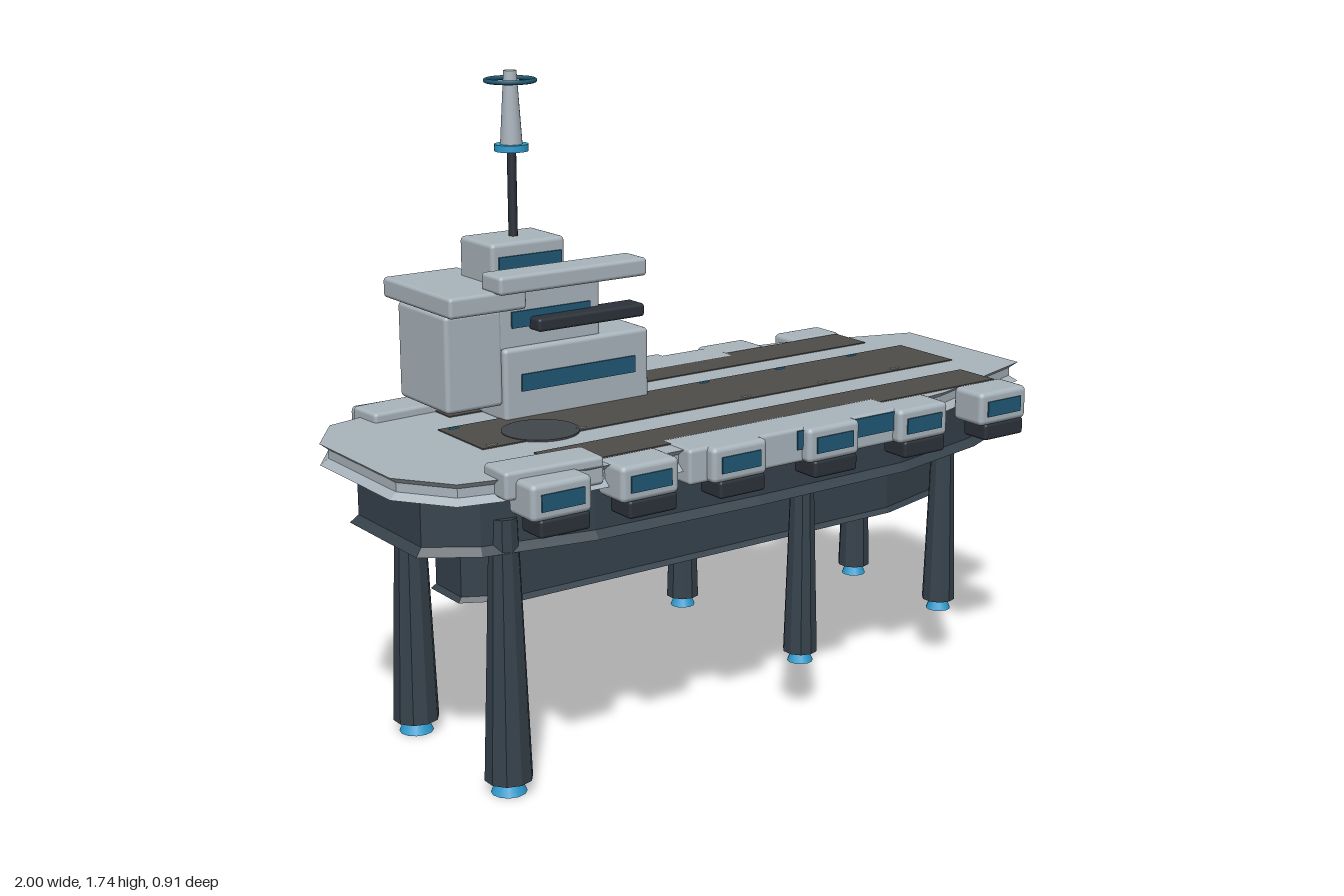
import * as THREE from 'three';
import { RoundedBoxGeometry } from 'three/addons/geometries/RoundedBoxGeometry.js';

function paint(name, color, options = {}) {
  const m = new THREE.MeshStandardMaterial({ color, ...options });
  m.name = name;
  return m;
}

export function createModel() {
  const grey = paint('light grey', 0xa9b4bc);
  const hullDark = paint('dark slate', 0x36424c);
  const legDark = paint('leg slate', 0x36424c, { flatShading: true });
  const black = paint('charcoal', 0x2c323a);
  const glass = paint('deep blue', 0x1f5873);
  const cyan = paint('bright blue', 0x2f9ccf);
  const runway = paint('runway brown', 0x4e4d48);
  const padGrey = paint('pad grey', 0x41464b);

  const model = new THREE.Group();
  model.name = 'carrierPlatform';

  const add = (name, geometry, material, x = 0, y = 0, z = 0) => {
    const mesh = new THREE.Mesh(geometry, material);
    mesh.name = name;
    mesh.position.set(x, y, z);
    model.add(mesh);
    return mesh;
  };
  // Boxes given by their limits on each axis
  const block = (name, mat, [x0, x1], [y0, y1], [z0, z1], r = 0.01) => {
    const w = x1 - x0, h = y1 - y0, d = z1 - z0;
    const geometry = r > 0 ? new RoundedBoxGeometry(w, h, d, 2, r) : new THREE.BoxGeometry(w, h, d);
    return add(name, geometry, mat, (x0 + x1) / 2, (y0 + y1) / 2, (z0 + z1) / 2);
  };
  const cylinder = (name, mat, rTop, rBottom, y0, y1, x, z, sides = 24) =>
    add(name, new THREE.CylinderGeometry(rTop, rBottom, y1 - y0, sides), mat, x, (y0 + y1) / 2, z);

  // Horizontal slab mirrored across z, with a waist between flared rims
  const slab = (name, mat, half, y0, y1, rim, inset) => {
    const points = [...half, ...half.map(([x, z]) => [x, -z]).reverse()];
    const shape = new THREE.Shape(points.map(([x, z]) => new THREE.Vector2(x, z)));
    const geometry = new THREE.ExtrudeGeometry(shape, {
      depth: y1 - y0 - 2 * rim, bevelThickness: rim, bevelSize: -inset, bevelSegments: 1,
    });
    geometry.rotateX(Math.PI / 2);
    return add(name, geometry, mat, 0, y1 - rim, 0);
  };

  // Flight deck, hull and keel
  slab('flightDeck', grey,
    [[-1, 0.18], [-0.9, 0.32], [-0.58, 0.395], [0.3, 0.4], [0.6, 0.36], [1, 0.23]], 0.797, 0.852, 0.016, 0.02);
  slab('upperHull', hullDark,
    [[-0.93, 0.17], [-0.8, 0.26], [-0.5, 0.315], [0, 0.328], [0.5, 0.32], [0.82, 0.25], [0.93, 0.2]],
    0.637, 0.8, 0.02, 0.02);
  slab('keel', hullDark, [[-0.76, 0.07], [-0.62, 0.145], [0.6, 0.145], [0.845, 0.08]], 0.455, 0.645, 0.012, 0.012);

  // Runway strips
  block('centreRunway', runway, [-0.7, 0.86], [0.85, 0.855], [-0.115, 0.105], 0);
  for (const s of [-1, 1]) {
    const mid = s * 0.272;
    block('sideRunway', runway, [-0.615, 0.8], [0.85, 0.855], [mid - 0.067, mid + 0.067], 0);
  }
  cylinder('landingPad', padGrey, 0.1, 0.1, 0.85, 0.857, -0.495, 0.045, 32);
  for (let i = 0; i < 6; i++) {
    const x = -0.664 + i * 0.264;
    block('deckMarker', cyan, [x - 0.014, x + 0.014], [0.852, 0.858], [-0.102, -0.095], 0);
    block('deckMarker', grey, [x - 0.014, x + 0.014], [0.852, 0.858], [0.086, 0.092], 0);
  }

  // Side pods, long galleries and stern sponsons
  for (const s of [-1, 1]) {
    const side = (a, b) => (s > 0 ? [a, b] : [-b, -a]);
    for (const x of [-0.69, -0.437, -0.165, 0.137, 0.443, 0.733]) {
      block('sidePod', grey, [x - 0.085, x + 0.085], [0.765, 0.857], side(0.34, 0.45), 0.014);
      block('podWindow', glass, [x - 0.06, x + 0.06], [0.79, 0.832], side(0.447, 0.454), 0);
      block('podBase', black, [x - 0.058, x + 0.084], [0.72, 0.766], side(0.355, 0.442), 0.008);
    }
    block('sideGallery', grey, [-0.303, 0.387], [0.765, 0.857], side(0.302, 0.422));
    block('galleryWindow', glass, [0.035, 0.36], [0.8, 0.85], side(0.418, 0.426), 0);
    const sponson = block('sternSponson', grey, [-0.8, -0.53], [0.805, 0.876], side(0.275, 0.385));
    sponson.rotation.y = -s * 0.055;
  }

  // Legs with flared feet
  const legs = [
    { x: -0.725, z: 0.235, r: 0.062, top: 0.036, base: 0.036, foot: 0, footR: 0.046 },
    { x: 0.178, z: 0.27, r: 0.047, top: 0.03, base: 0.18, foot: 0.15, footR: 0.035 },
    { x: 0.757, z: 0.188, r: 0.047, top: 0.03, base: 0.18, foot: 0.15, footR: 0.035 },
  ];
  for (const leg of legs) for (const s of [-1, 1]) {
    cylinder('leg', legDark, leg.top, leg.r, leg.base, 0.72, leg.x, s * leg.z, 10);
    cylinder('foot', cyan, leg.footR * 0.65, leg.footR, leg.foot, leg.base, leg.x, s * leg.z, 12);
  }

  // Island tower
  block('towerBase', grey, [-0.517, -0.067], [0.845, 1.04], [-0.335, -0.085], 0.012);
  block('towerMiddle', grey, [-0.53, -0.21], [1.03, 1.198], [-0.297, -0.102], 0.012);
  block('towerTop', grey, [-0.53, -0.308], [1.19, 1.31], [-0.278, -0.116], 0.012);
  block('aftBlock', grey, [-0.68, -0.512], [0.89, 1.145], [-0.347, -0.1], 0.012);
  block('aftRoof', grey, [-0.705, -0.48], [1.153, 1.207], [-0.375, -0.03]);
  block('aftRoofNeck', grey, [-0.66, -0.5], [1.13, 1.16], [-0.32, -0.12], 0);
  block('bridgeWing', grey, [-0.577, -0.13], [1.202, 1.25], [-0.095, 0]);
  block('bridgeWingSupport', grey, [-0.5, -0.34], [1.205, 1.24], [-0.13, -0.08], 0);
  block('towerBeam', black, [-0.43, -0.1], [1.08, 1.115], [-0.125, -0.055], 0.008);
  block('lowerWindow', glass, [-0.468, -0.115], [0.925, 0.97], [-0.088, -0.08], 0);
  block('middleWindow', glass, [-0.485, -0.245], [1.09, 1.133], [-0.105, -0.097], 0);
  block('upperWindow', glass, [-0.51, -0.322], [1.235, 1.275], [-0.119, -0.111], 0);

  // Mast and antenna
  const mx = -0.416, mz = -0.196;
  cylinder('mast', black, 0.012, 0.012, 1.3, 1.54, mx, mz, 12);
  cylinder('mastCollar', cyan, 0.044, 0.044, 1.53, 1.548, mx, mz);
  cylinder('antenna', grey, 0.017, 0.029, 1.548, 1.735, mx, mz, 16);
  const ring = add('antennaRing', new THREE.TorusGeometry(0.063, 0.006, 8, 40), glass, mx, 1.71, mz);
  ring.rotation.x = Math.PI / 2;

  return model;
}
